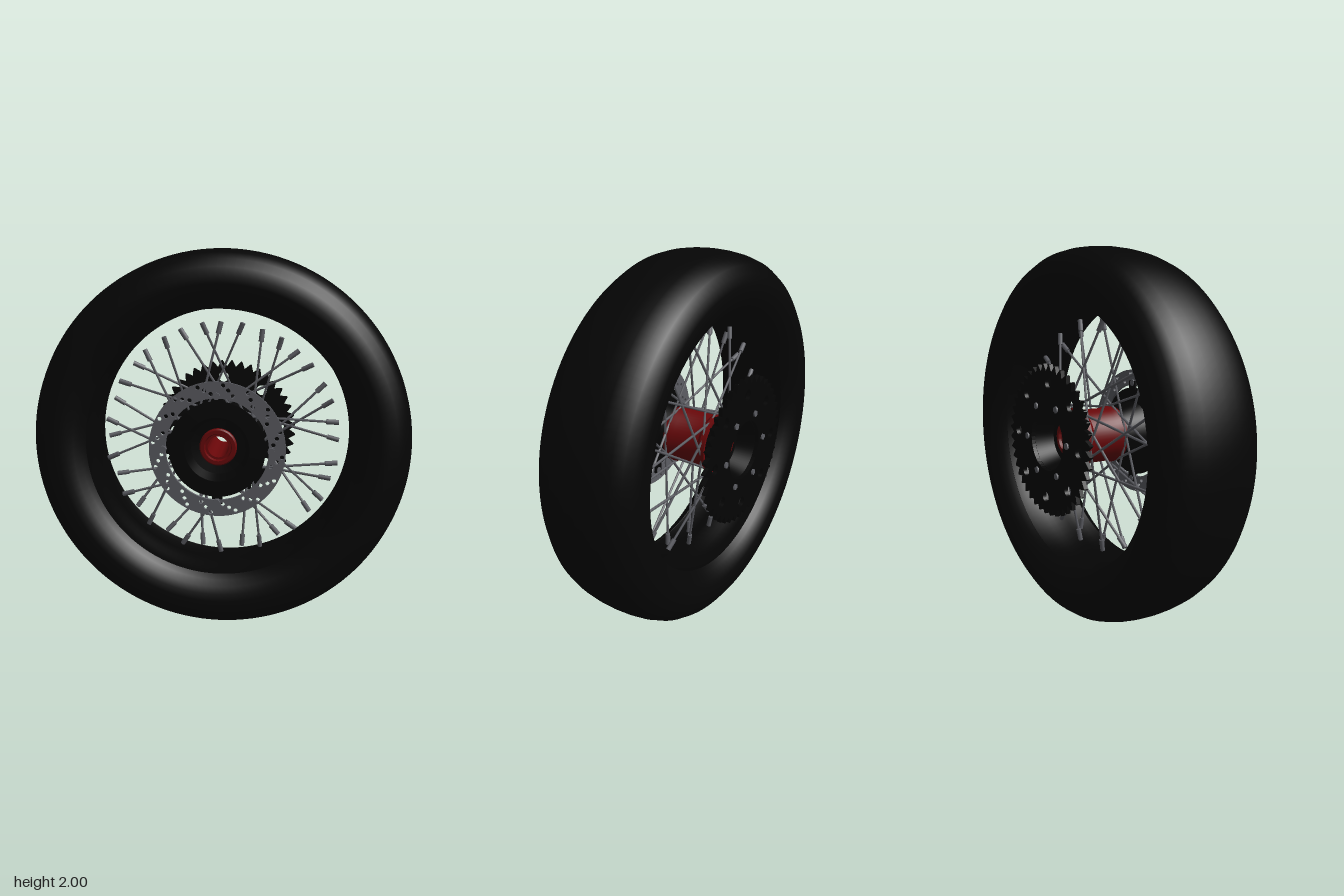
import * as THREE from 'three';
import { toCreasedNormals } from 'three/addons/utils/BufferGeometryUtils.js';

const mat = (name, color) => {
  const m = new THREE.MeshStandardMaterial({ color });
  m.name = name;
  return m;
};

export function createModel() {
  const rubber = mat('black rubber', 0x050505);
  const black = mat('black metal', 0x040404);
  const steel = mat('grey steel', 0x5c5d63);
  const red = mat('red anodised', 0x680709);

  const root = new THREE.Group();
  root.name = 'spokedWheel';
  const wheel = new THREE.Group();
  wheel.name = 'wheel';
  wheel.position.y = 1;
  root.add(wheel);

  const add = (name, geometry, material, parent = wheel) => {
    const mesh = new THREE.Mesh(geometry, material);
    mesh.name = name;
    parent.add(mesh);
    return mesh;
  };

  // Closed ring turned about the z axis, from a counter-clockwise [radius, z] section
  const turned = (section, segments, crease = 0.6) => {
    const pts = [...section, section[0]].map(([r, z]) => new THREE.Vector2(r, z));
    const g = new THREE.LatheGeometry(pts, segments);
    g.rotateX(Math.PI / 2);
    return toCreasedNormals(g, crease);
  };

  const polar = (r, a, z = 0) => new THREE.Vector3(r * Math.cos(a), r * Math.sin(a), z);

  const hole = (shape, x, y, r) => {
    const p = new THREE.Path();
    p.absarc(x, y, r, 0, Math.PI * 2, true);
    shape.holes.push(p);
  };

  // Round bar between two points
  const bar = (name, a, b, radius, sides, material, parent) => {
    const mesh = add(name, new THREE.CylinderGeometry(radius, radius, a.distanceTo(b), sides), material, parent);
    mesh.position.copy(a).lerp(b, 0.5);
    mesh.quaternion.setFromUnitVectors(new THREE.Vector3(0, 1, 0), b.clone().sub(a).normalize());
    return mesh;
  };

  // Tyre: rounded crown, sidewalls curving in to the bead
  const half = [[0.70, 0.190], [0.72, 0.222], [0.75, 0.249], [0.785, 0.267], [0.82, 0.276],
    [0.855, 0.276], [0.90, 0.260], [0.94, 0.232], [0.97, 0.190], [0.988, 0.13], [0.997, 0.065]];
  const mid = 0.022;
  add('tyre', turned([
    ...half.map(([r, z]) => [r, mid - z]),
    [1, mid],
    ...half.slice().reverse().map(([r, z]) => [r, mid + z]),
    [0.715, mid + 0.16], [0.715, mid - 0.16],
  ], 128), rubber);

  // Rim: shallow well between the beads
  add('rim', turned([
    [0.701, mid - 0.188], [0.718, mid - 0.188], [0.718, mid + 0.188], [0.701, mid + 0.188],
    [0.71, mid + 0.14], [0.71, mid + 0.07], [0.702, mid + 0.04],
    [0.702, mid - 0.04], [0.71, mid - 0.07], [0.71, mid - 0.14],
  ], 96), black);

  // Hub with a through bore, two spoke flanges and recessed ends
  add('hub', turned([
    [0.055, -0.165], [0.067, -0.165], [0.072, -0.18], [0.09, -0.18], [0.097, -0.17],
    [0.097, -0.14], [0.16, -0.14], [0.16, -0.11], [0.146, -0.09], [0.146, 0.07],
    [0.155, 0.09], [0.155, 0.12], [0.097, 0.12], [0.097, 0.222], [0.09, 0.232],
    [0.072, 0.232], [0.067, 0.215], [0.055, 0.215],
  ], 48, 0.5), red);

  // Spokes: crossed pairs, alternating between the two flanges
  const spokes = new THREE.Group();
  spokes.name = 'spokes';
  wheel.add(spokes);
  const count = 36;
  for (let i = 0; i < count; i++) {
    const a = (i / count) * Math.PI * 2;
    const front = i % 2 === 1;
    const lean = Math.floor(i / 2) % 2 === 0 ? 1 : -1;
    const inner = polar(0.15, a + lean * 1.3, front ? 0.105 : -0.125);
    const outer = polar(0.632, a, mid + (front ? 0.035 : -0.035));
    const neck = outer.clone().lerp(inner, 0.065 / outer.distanceTo(inner));
    bar('spoke', inner, neck, 0.007, 6, steel, spokes);
    bar('nipple', neck, outer, 0.0135, 8, steel, spokes);
  }

  // Drilled brake disc
  const discShape = new THREE.Shape();
  discShape.absarc(0, 0, 0.348, 0, Math.PI * 2, false);
  hole(discShape, 0, 0, 0.263);
  for (let i = 0; i < 16; i++) {
    [[0.286, -0.09], [0.308, 0.01], [0.33, 0.1]].forEach(([r, turn]) => {
      const p = polar(r, ((i + 0.5) / 16) * Math.PI * 2 + turn);
      hole(discShape, p.x, p.y, 0.011);
    });
  }
  const disc = add('brakeDisc', new THREE.ExtrudeGeometry(discShape,
    { depth: 0.016, bevelEnabled: false, curveSegments: 32 }), steel);
  disc.position.z = 0.274;

  // Dished disc carrier with four lugs
  add('discCarrier', turned([
    [0.09, 0.122], [0.13, 0.122], [0.17, 0.262], [0.246, 0.268], [0.246, 0.286],
    [0.165, 0.286], [0.142, 0.215], [0.09, 0.205],
  ], 64, 0.4), black);
  for (let i = 0; i < 4; i++) {
    const a = (i * Math.PI) / 2;
    const lug = add('discLug', new THREE.BoxGeometry(0.05, 0.055, 0.012), black);
    lug.position.copy(polar(0.262, a, 0.27));
    lug.rotation.z = a;
    bar('discBolt', polar(0.275, a, 0.262), polar(0.275, a, 0.304), 0.018, 12, steel, wheel)
      .rotateY(a);
  }

  // Toothed sprocket with lightening holes
  const teeth = 44;
  const outline = [];
  for (let i = 0; i < teeth; i++) {
    [[0, 0.364], [0.45, 0.4], [0.55, 0.4]].forEach(([t, r]) => {
      const p = polar(r, ((i + t) / teeth) * Math.PI * 2);
      outline.push(new THREE.Vector2(p.x, p.y));
    });
  }
  const sprocketShape = new THREE.Shape(outline);
  hole(sprocketShape, 0, 0, 0.16);
  for (let i = 0; i < 8; i++) {
    const p = polar(0.305, (i / 8) * Math.PI * 2 + 0.06);
    hole(sprocketShape, p.x, p.y, 0.03);
  }
  const sprocket = add('sprocket', new THREE.ExtrudeGeometry(sprocketShape,
    { depth: 0.022, bevelEnabled: false, curveSegments: 24 }), black);
  sprocket.position.z = -0.296;

  // Dished sprocket carrier and its six bolts
  add('sprocketCarrier', turned([
    [0.09, -0.165], [0.13, -0.175], [0.158, -0.274], [0.215, -0.274], [0.215, -0.255],
    [0.172, -0.248], [0.15, -0.142], [0.09, -0.142],
  ], 64, 0.4), black);
  for (let i = 0; i < 6; i++) {
    const a = (i * Math.PI) / 3;
    bar('sprocketBolt', polar(0.2, a, -0.265), polar(0.2, a, -0.305), 0.018, 6, steel, wheel);
  }

  return root;
}
